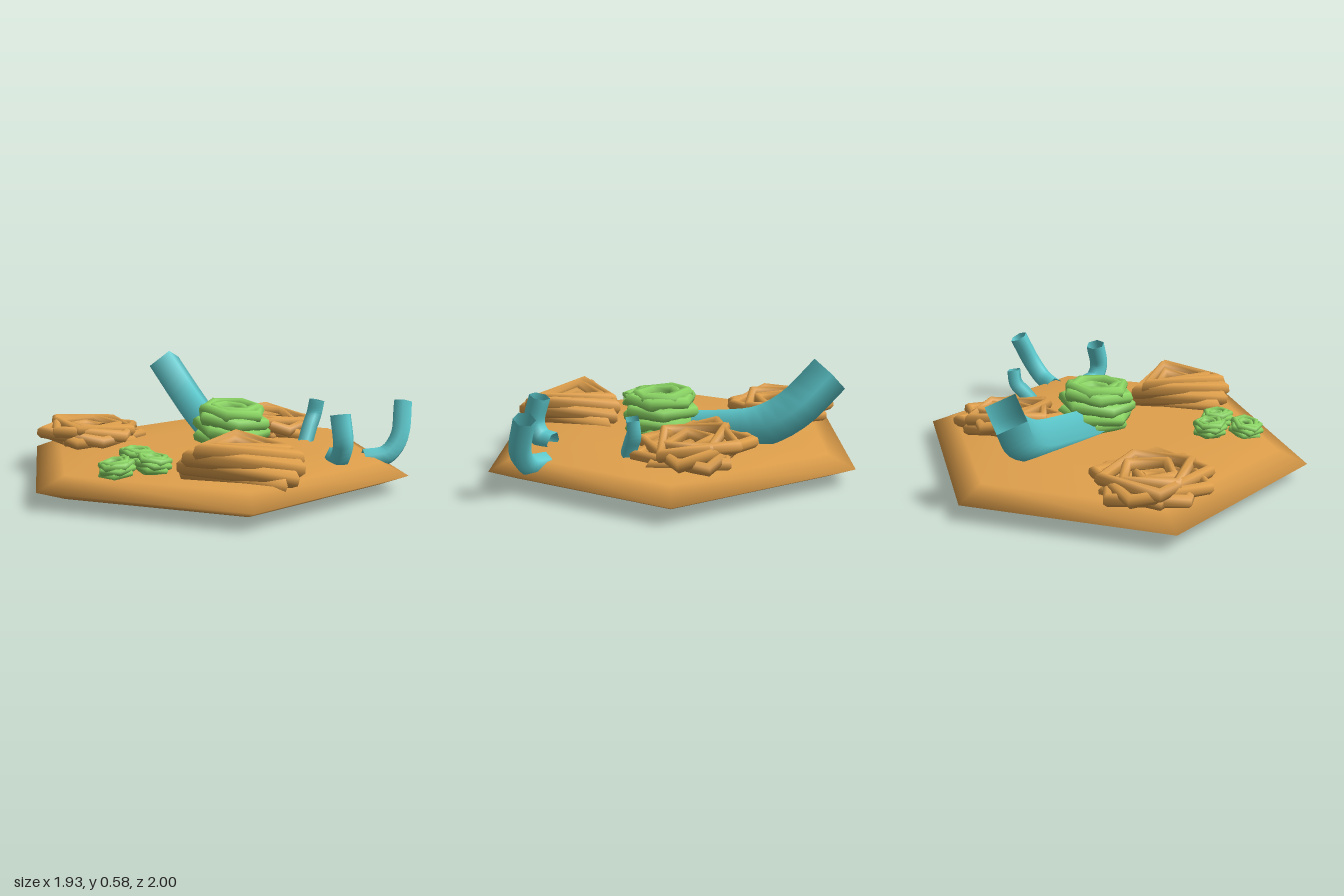
import * as THREE from 'three';
import { mergeVertices } from 'three/addons/utils/BufferGeometryUtils.js';

// Rising coil with only a few corners per turn, swelling out and dipping in at both ends
class CoilCurve extends THREE.Curve {
  constructor(radius, height, turns) {
    super();
    Object.assign(this, { radius, height, turns });
  }
  getPoint(t, target = new THREE.Vector3()) {
    const s = 0.05 + 0.9 * t;
    const r = this.radius * (0.1 + 0.9 * Math.sin(Math.PI * s));
    const a = t * this.turns * Math.PI * 2;
    return target.set(r * Math.cos(a), -this.height * Math.sin(2 * Math.PI * s), r * Math.sin(a));
  }
  getPointAt(t, target) { return this.getPoint(t, target); }
  getTangentAt(t, target) { return this.getTangent(t, target); }
}

export function createModel() {
  const model = new THREE.Group();
  const material = (name, color, side = THREE.FrontSide) => {
    const m = new THREE.MeshStandardMaterial({ color, side });
    m.name = name;
    return m;
  };
  const sand = material('sand orange', 0xe0a04c, THREE.DoubleSide);
  const green = material('leaf green', 0x8bd664, THREE.DoubleSide);
  const cyan = material('tube cyan', 0x5fced2, THREE.DoubleSide);

  const add = (name, geometry, mat) => {
    const mesh = new THREE.Mesh(geometry, mat);
    mesh.name = name;
    model.add(mesh);
    return mesh;
  };

  // Irregular six-cornered slab: a lathe whose spokes are moved to the corners
  const corners = [[-0.09, 1], [0.82, 0.55], [0.865, -0.45], [-0.01, -1], [-0.92, -0.56], [-0.97, 0.44]];
  const profile = [[0, 0.05], [0.09, 0.012], [0.45, 0.003], [0.86, 0.03], [1, 0.085],
    [0.86, 0.143], [0.45, 0.162], [0, 0.155]].map(p => new THREE.Vector2(...p));
  let slab = new THREE.LatheGeometry(profile, 6);
  const pos = slab.attributes.position;
  for (let i = 0; i < pos.count; i++) {
    const [x, z] = corners[Math.floor(i / profile.length) % 6];
    const r = profile[i % profile.length].x;
    pos.setX(i, x * r);
    pos.setZ(i, z * r);
  }
  slab.deleteAttribute('uv');
  slab.deleteAttribute('normal');
  slab = mergeVertices(slab);
  slab.computeVertexNormals();
  add('groundSlab', slab, sand);

  // Coiled clumps
  const coil = (name, mat, { at, radius, height, tube, turns, perTurn, turn = 0, tilt = [0, 0] }) => {
    const steps = Math.round(turns * perTurn);
    const curve = new CoilCurve(radius, height, steps / perTurn);
    const mesh = add(name, new THREE.TubeGeometry(curve, steps, tube, 7), mat);
    mesh.geometry.rotateY(turn);
    mesh.position.set(...at);
    mesh.rotation.set(tilt[0], 0, tilt[1]);
  };
  coil('backRightRock', sand, { at: [-0.63, 0.195, -0.375], radius: 0.275, height: 0.033, tube: 0.032,
    turns: 7, perTurn: 4.33, tilt: [0, -0.07] });
  coil('backLeftRock', sand, { at: [0.37, 0.21, -0.32], radius: 0.28, height: 0.035, tube: 0.032,
    turns: 7, perTurn: 3.72, turn: 0.4, tilt: [0.07, -0.12] });
  coil('frontRock', sand, { at: [-0.03, 0.215, 0.58], radius: 0.29, height: 0.065, tube: 0.042,
    turns: 8, perTurn: 3.06, turn: 0.75, tilt: [0, -0.06] });
  coil('largeBush', green, { at: [0.06, 0.265, 0.015], radius: 0.175, height: 0.093, tube: 0.034,
    turns: 9, perTurn: 5.7, tilt: [0.06, -0.04] });
  [[-0.48, 0.195, 0.285], [-0.6, 0.178, 0.44], [-0.425, 0.188, 0.43]].forEach((at, i) =>
    coil('smallBush' + (i + 1), green, { at, radius: 0.078, height: 0.028, tube: 0.017,
      turns: 7, perTurn: 5.3, turn: i, tilt: [0, i === 1 ? 0.15 : -0.08] }));

  // Open bent tubes
  const bentTube = (name, points, radius, sides) => {
    const curve = new THREE.CatmullRomCurve3(points.map(p => new THREE.Vector3(...p)));
    add(name, new THREE.TubeGeometry(curve, 14, radius, sides), cyan);
  };
  bentTube('largeTube', [[0.03, 0.17, -0.05], [0.02, 0.2, -0.3], [0, 0.245, -0.52],
    [-0.05, 0.34, -0.67], [-0.145, 0.51, -0.81]], 0.105, 4);
  bentTube('frontTube', [[0.49, 0.165, 0.4], [0.49, 0.18, 0.47], [0.49, 0.25, 0.51], [0.485, 0.39, 0.475]], 0.053, 6);
  bentTube('sideTube', [[0.68, 0.125, 0.32], [0.79, 0.145, 0.34], [0.865, 0.23, 0.325], [0.91, 0.4, 0.26]], 0.052, 6);
  bentTube('backTube', [[0.48, 0.15, -0.02], [0.52, 0.23, -0.065], [0.555, 0.29, -0.1], [0.57, 0.365, -0.1]], 0.042, 4);

  return model;
}
